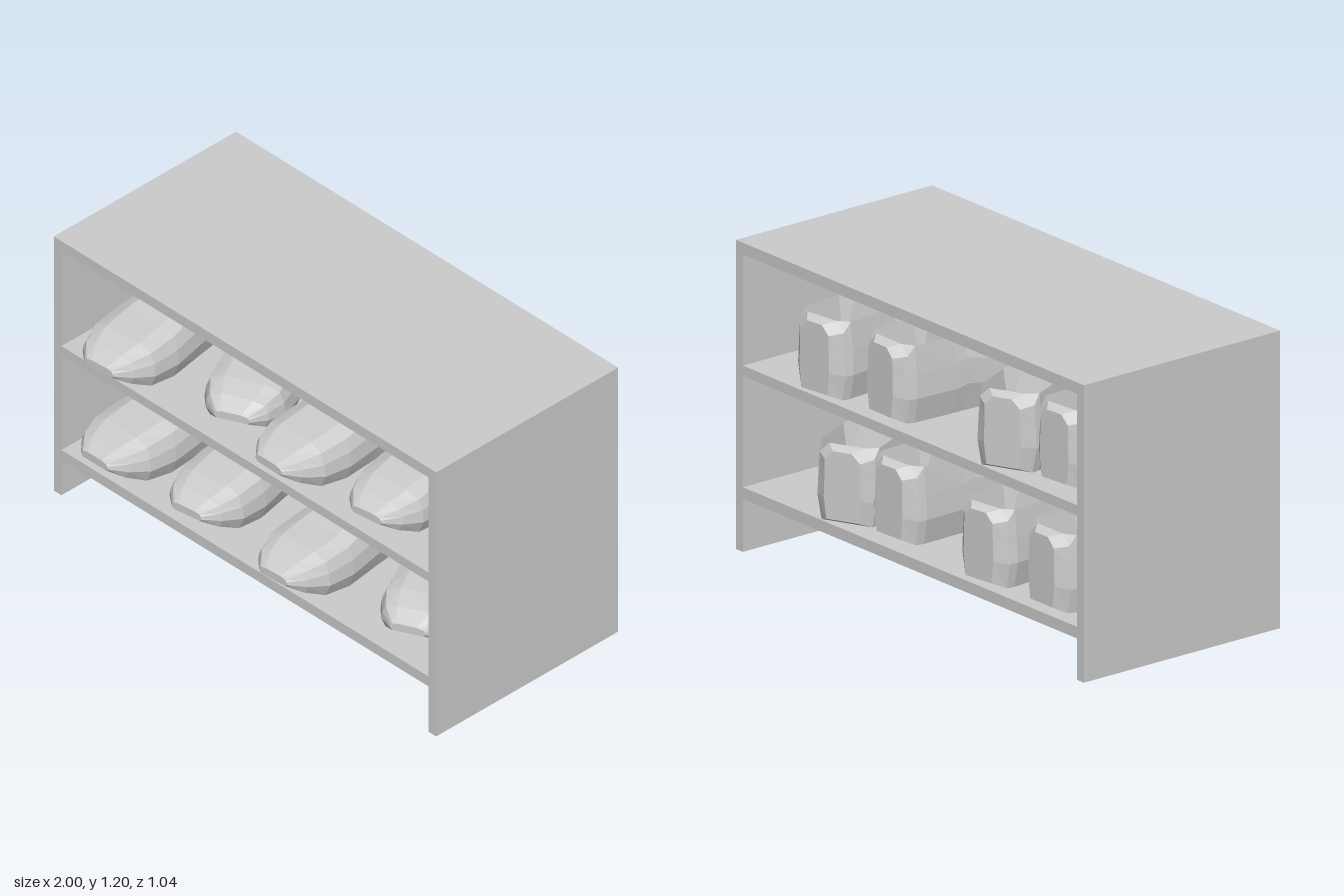
import * as THREE from 'three';

const grey = new THREE.MeshStandardMaterial({ color: 0xcccccc, flatShading: true });
grey.name = 'light grey';

// Cross-sections from heel to toe: z, half width, bottom, top, shoulder ratio,
// crown ratio, and the floor height inside the opening (or null where closed).
const sections = [
  [-0.48, 0.075, 0.02, 0.285, 0.95, 0.5, null],
  [-0.44, 0.12, 0.0, 0.3, 0.92, 0.6, null],
  [-0.41, 0.132, 0.0, 0.305, 0.88, 0.68, 0.12],
  [-0.23, 0.138, 0.0, 0.305, 0.85, 0.66, 0.12],
  [-0.18, 0.138, 0.0, 0.335, 0.77, 0.48, null],
  [-0.06, 0.142, 0.0, 0.285, 0.77, 0.46, null],
  [0.08, 0.152, 0.0, 0.222, 0.8, 0.46, null],
  [0.22, 0.165, 0.0, 0.2, 0.84, 0.5, null],
  [0.34, 0.158, 0.02, 0.187, 0.85, 0.5, null],
  [0.42, 0.125, 0.06, 0.165, 0.85, 0.5, null],
  [0.475, 0.07, 0.095, 0.128, 0.85, 0.5, null],
];

function ring([z, w, y0, y1, shoulder, crown, floor]) {
  const h = y1 - y0;
  const half = [
    [w * 0.86, y0],
    [w, y0 + h * 0.32],
    [w * 0.96, y0 + h * 0.62],
    [w * shoulder, y0 + h * (floor === null ? 0.87 : 0.98)],
    [w * crown, floor === null ? y1 : floor],
  ];
  const mirrored = half.slice().reverse().map(([x, y]) => [-x, y]);
  return [...half, ...mirrored].map(([x, y]) => [x, y, z]);
}

// Faceted shoe skin lofted through the sections
function shoeGeometry() {
  const rings = sections.map(ring);
  const n = rings[0].length;
  const pos = [];
  const tri = (a, b, c) => pos.push(...a, ...b, ...c);
  for (let i = 0; i < rings.length - 1; i++) {
    for (let j = 0; j < n; j++) {
      const k = (j + 1) % n;
      const a = rings[i][j], b = rings[i][k], c = rings[i + 1][k], d = rings[i + 1][j];
      tri(a, b, c);
      tri(a, c, d);
    }
  }
  const heel = rings[0], toe = rings[rings.length - 1];
  for (let j = 1; j < n - 1; j++) {
    tri(heel[0], heel[j + 1], heel[j]);
    tri(toe[0], toe[j], toe[j + 1]);
  }
  const g = new THREE.BufferGeometry();
  g.setAttribute('position', new THREE.Float32BufferAttribute(pos, 3));
  g.computeVertexNormals();
  return g;
}

export function createModel() {
  const model = new THREE.Group();
  model.name = 'shoeRack';

  // Rack boards, all sharing one depth
  const board = (name, x0, x1, y0, y1) => {
    const m = new THREE.Mesh(new THREE.BoxGeometry(x1 - x0, y1 - y0, 0.92), grey);
    m.position.set((x0 + x1) / 2, (y0 + y1) / 2, -0.05);
    m.name = name;
    model.add(m);
  };
  board('rightSidePanel', -1, -0.96, 0.045, 1.195);
  board('leftSidePanel', 0.96, 1, 0, 1.195);
  board('topBoard', -0.96, 0.96, 1.15, 1.195);
  board('upperShelf', -0.96, 0.96, 0.68, 0.72);
  board('lowerShelf', -0.96, 0.96, 0.205, 0.25);

  // Shoes: x, shelf height, z, turn in degrees
  const geometry = shoeGeometry();
  const shoes = [
    [-0.705, 0.72, 0.035, 5],
    [-0.31, 0.72, -0.06, 25],
    [0.2, 0.72, 0, -1],
    [0.6, 0.72, -0.04, 7],
    [-0.725, 0.25, -0.005, 0],
    [-0.325, 0.25, -0.025, 7],
    [0.21, 0.25, 0.02, 3],
    [0.61, 0.25, -0.06, 25],
  ];
  shoes.forEach(([x, y, z, turn], i) => {
    const shoe = new THREE.Mesh(geometry, grey);
    shoe.name = 'shoe' + (i + 1);
    shoe.position.set(x, y, z);
    shoe.rotation.y = THREE.MathUtils.degToRad(turn);
    model.add(shoe);
  });
  return model;
}
